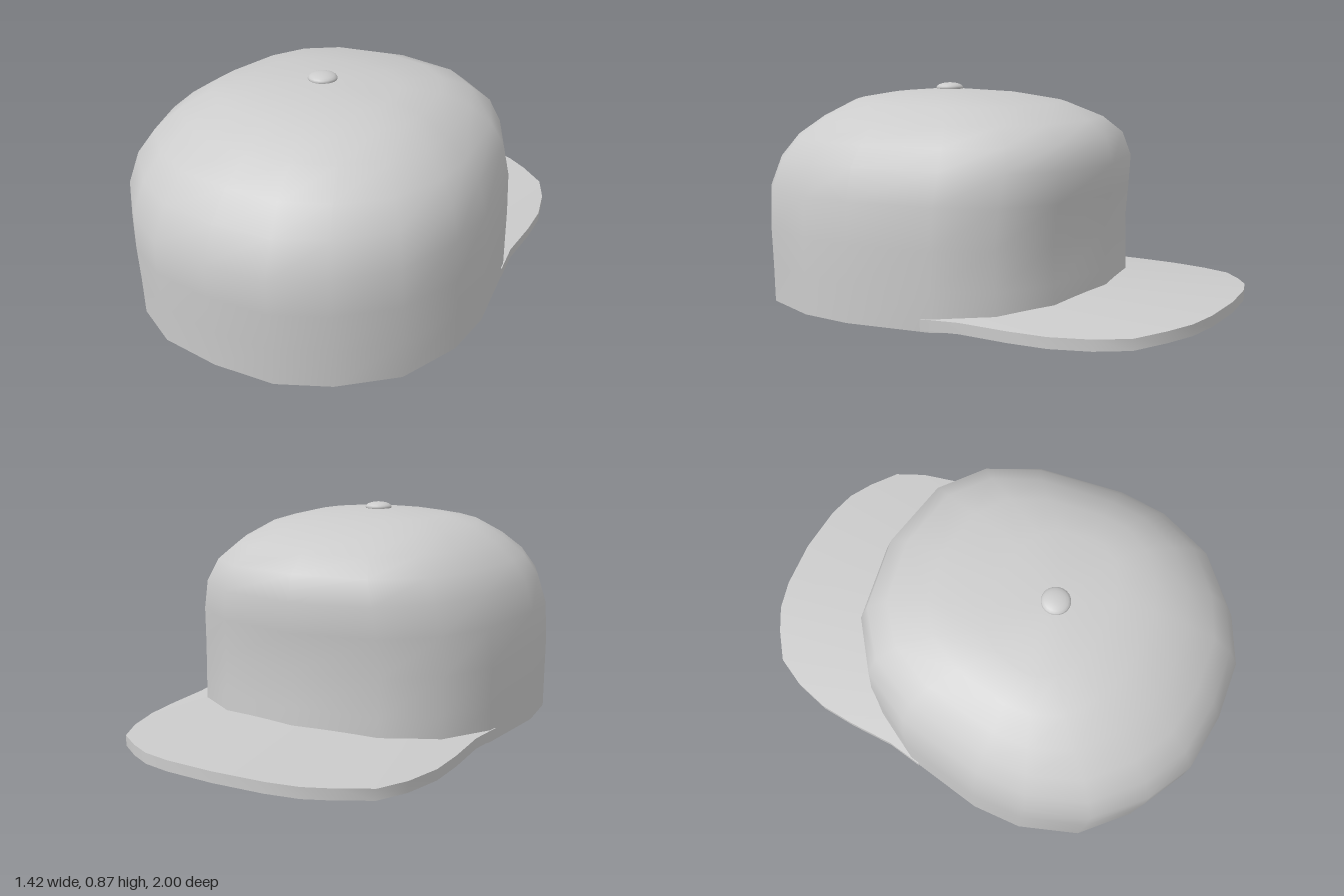
import * as THREE from 'three';
import { toCreasedNormals } from 'three/addons/utils/BufferGeometryUtils.js';

const material = new THREE.MeshStandardMaterial({ color: 0xcccccc });

// Skin a series of closed loops, skipping collapsed quads at the poles
function loft(loops, crease) {
  const pos = [];
  const tri = (a, b, c) => {
    if (a.distanceTo(b) > 1e-5 && b.distanceTo(c) > 1e-5 && c.distanceTo(a) > 1e-5) {
      for (const p of [a, b, c]) pos.push(p.x, p.y, p.z);
    }
  };
  for (let j = 0; j < loops.length - 1; j++) {
    const n = loops[j].length;
    for (let i = 0; i < n; i++) {
      const k = (i + 1) % n;
      const [a, b, c, d] = [loops[j][i], loops[j][k], loops[j + 1][k], loops[j + 1][i]];
      tri(a, b, c);
      tri(a, c, d);
    }
  }
  const geo = new THREE.BufferGeometry();
  geo.setAttribute('position', new THREE.Float32BufferAttribute(pos, 3));
  return toCreasedNormals(geo, crease);
}

// Half of the head outline, unit size, from the +z point round to the -z point
const OUTLINE = [[0, 1], [0.34, 0.97], [0.605, 0.84], [0.86, 0.61], [0.985, 0.285],
  [1, 0], [0.92, -0.46], [0.76, -0.74], [0.48, -0.925], [0, -1]];
const HEAD = [...OUTLINE, ...OUTLINE.slice(1, -1).reverse().map(([x, z]) => [-x, z])];

// Crown levels: [y, z] at the +z end, [y, x] at the side, [y, z] at the brim end
const LEVELS = [
  [0, 0.985, 0, 0.71, 0, -0.49],
  [0.15, 0.99, 0.15, 0.71, 0.15, -0.485],
  [0.3, 1.0, 0.3, 0.71, 0.3, -0.48],
  [0.43, 1.0, 0.46, 0.70, 0.45, -0.495],
  [0.56, 0.945, 0.58, 0.665, 0.57, -0.51],
  [0.66, 0.86, 0.66, 0.61, 0.67, -0.48],
  [0.74, 0.74, 0.73, 0.53, 0.735, -0.40],
  [0.81, 0.60, 0.795, 0.425, 0.795, -0.24],
  [0.835, 0.45, 0.825, 0.30, 0.83, 0],
  [0.85, 0.25, 0.85, 0, 0.85, 0.25],
];
const MID = 0.25;

function crownLoop([yF, zF, yS, xS, yB, zB], wall) {
  const shrink = (r) => Math.max(r - wall, 0);
  return HEAD.map(([x, z]) => {
    const y = yS + ((z > 0 ? yF : yB) - yS) * z * z;
    const reach = z > 0 ? shrink(zF - MID) : shrink(MID - zB);
    return new THREE.Vector3(x * shrink(xS), y - wall * Math.min(1, y / 0.8), MID + z * reach);
  });
}

// Brim half outlines, matched point for point from the centre to the side
const BRIM_OUTER = [[0, -1], [0.2, -0.985], [0.32, -0.955], [0.42, -0.9], [0.53, -0.82],
  [0.59, -0.7], [0.63, -0.55], [0.64, -0.4], [0.64, -0.2], [0.664, -0.05]];
const BRIM_INNER = [[0, -0.48], [0.12, -0.46], [0.22, -0.445], [0.33, -0.43], [0.4, -0.385],
  [0.47, -0.34], [0.53, -0.295], [0.57, -0.225], [0.61, -0.15], [0.65, -0.05]];

function brimLoop(i, side) {
  const point = ([x, z], top) => {
    const y = 0.085 - 0.035 * (x / 0.65) ** 2;
    return new THREE.Vector3(side * x, top ? y : y - 0.042, z);
  };
  return [point(BRIM_INNER[i], false), point(BRIM_OUTER[i], false),
    point(BRIM_OUTER[i], true), point(BRIM_INNER[i], true)];
}

export function createModel() {
  const group = new THREE.Group();
  const add = (name, geometry) => {
    const mesh = new THREE.Mesh(geometry, material);
    mesh.name = name;
    group.add(mesh);
    return mesh;
  };

  // Crown: lining from the top down, then the outside from the hem up
  const lining = LEVELS.map((l) => crownLoop(l, 0.018)).reverse();
  const outside = LEVELS.map((l) => crownLoop(l, 0));
  add('crown', loft([...lining, ...outside], 0.8));

  // Brim: thin curved plate swept from one side to the other
  const stations = [];
  for (let i = -9; i <= 9; i++) stations.push(brimLoop(Math.abs(i), i < 0 ? -1 : 1));
  add('brim', loft(stations, 0.7));

  // Top button
  const button = add('button', new THREE.SphereGeometry(0.057, 20, 10));
  button.scale.y = 0.38;
  button.position.set(0, 0.85, 0.245);

  return group;
}
